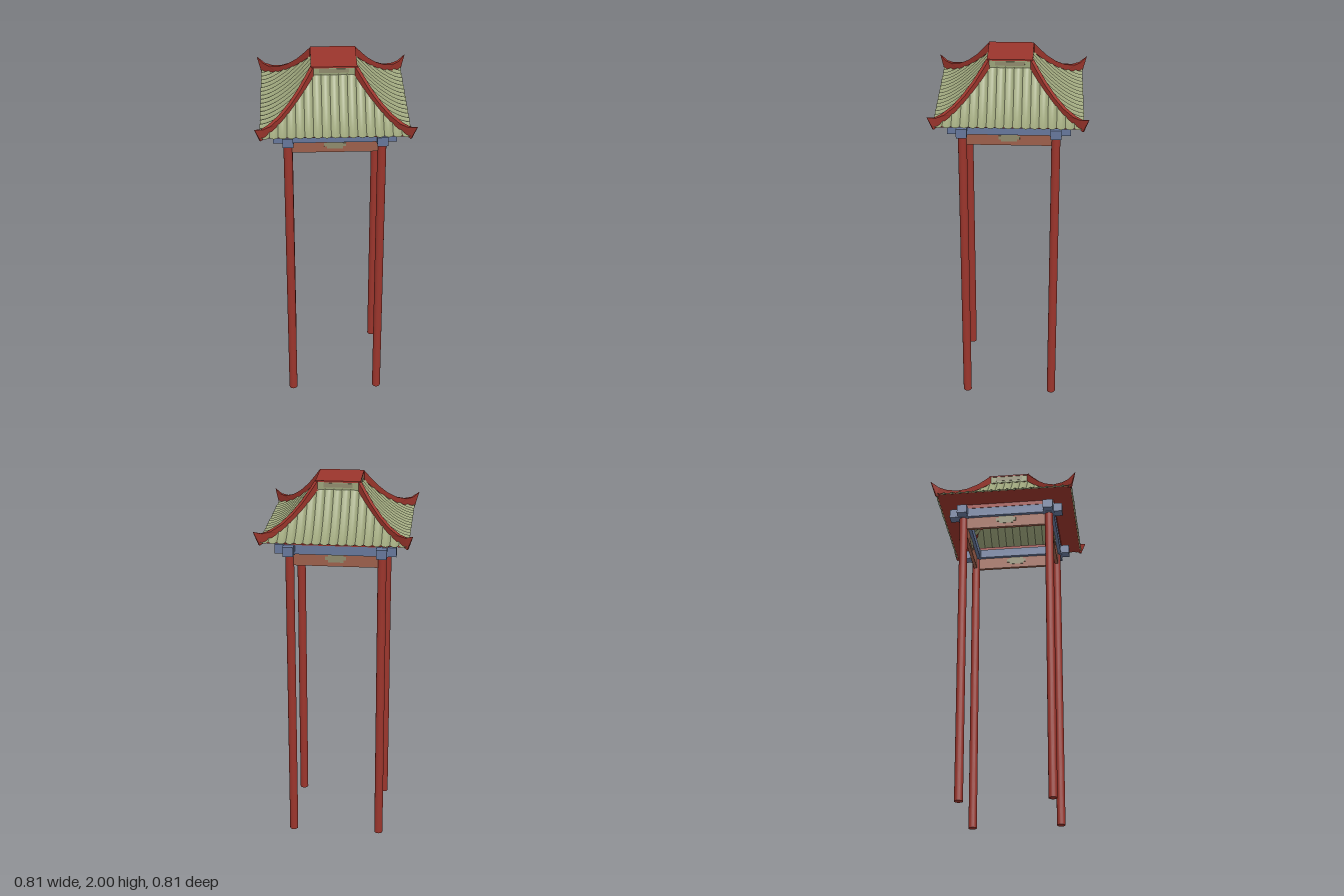
import * as THREE from 'three';

const material = (name, color, side = THREE.FrontSide) => {
  const m = new THREE.MeshStandardMaterial({ color, side });
  m.name = name;
  return m;
};

// Roof height at a distance d from the centre: a concave sweep
const EAVE = 0.38, CROWN = 0.115;
const roofY = (d) => 1.745 + 0.21 * Math.pow(Math.max(0, EAVE - d) / (EAVE - CROWN), 1.6);

// One tiled slope facing +z: concave troughs that meet in sharp ribs
function slopeGeometry() {
  const pos = [], index = [], strips = 17, pitch = 0.044, cols = 4, rows = 12;
  for (let s = 0; s < strips; s++) {
    const base = pos.length / 3;
    for (let i = 0; i <= cols; i++) {
      const u = i / cols;
      const x = (s - strips / 2 + u) * pitch;
      const sag = 0.009 * 4 * u * (1 - u);
      const start = Math.max(CROWN, Math.abs(x));
      for (let j = 0; j <= rows; j++) {
        const d = start + (EAVE - start) * j / rows;
        const fall = (roofY(d - 0.002) - roofY(d + 0.002)) / 0.004;
        const len = Math.hypot(1, fall);
        pos.push(x, roofY(d) - sag / len, d - sag * fall / len);
      }
    }
    for (let i = 0; i < cols; i++) for (let j = 0; j < rows; j++) {
      const a = base + i * (rows + 1) + j, c = a + rows + 1;
      index.push(a, a + 1, c, c, a + 1, c + 1);
    }
  }
  const g = new THREE.BufferGeometry();
  g.setAttribute('position', new THREE.Float32BufferAttribute(pos, 3));
  g.setIndex(index);
  g.computeVertexNormals();
  return g;
}

// Hip ridge: an upswept plate along the diagonal, tapering to its tip
function ridgeGeometry() {
  const upper = [[0.112, 1.998], [0.14, 1.957], [0.18, 1.902], [0.23, 1.848], [0.28, 1.808],
    [0.33, 1.786], [0.365, 1.784], [0.402, 1.803]];
  const lower = [[0.376, 1.725]];
  for (const d of [0.34, 0.29, 0.24, 0.19, 0.15, 0.112]) lower.push([d, roofY(d) - 0.012]);
  const shape = new THREE.Shape(
    [...upper, ...lower].map(([d, y]) => new THREE.Vector2(d * Math.SQRT2, y)));
  const g = new THREE.ExtrudeGeometry(shape, { depth: 0.02, bevelEnabled: false });
  g.translate(0, 0, -0.01);
  const p = g.attributes.position;
  for (let i = 0; i < p.count; i++) {
    const d = p.getX(i) / Math.SQRT2;
    p.setZ(i, p.getZ(i) * THREE.MathUtils.clamp((0.41 - d) / 0.07, 0.12, 1));
  }
  g.computeVertexNormals();
  return g;
}

export function createModel() {
  const root = new THREE.Group();
  root.name = 'pavilion';
  const red = material('red lacquer', 0x9b352c);
  const redSheet = material('red lacquer sheet', 0x9b352c, THREE.DoubleSide);
  const green = material('green tile', 0x9ba37a, THREE.DoubleSide);
  const blue = material('blue beam', 0x66779b);
  const brown = material('brown panel', 0x9c5f4b);
  const ornament = material('faded ornament', 0x8e8a6c);

  const add = (parent, name, geometry, mat, x = 0, y = 0, z = 0) => {
    const m = new THREE.Mesh(geometry, mat);
    m.name = name;
    m.position.set(x, y, z);
    parent.add(m);
    return m;
  };
  const box = (w, h, d) => new THREE.BoxGeometry(w, h, d);

  const column = new THREE.CylinderGeometry(0.023, 0.023, 1.66, 16);
  const slope = slopeGeometry();
  const ridge = ridgeGeometry();

  // Medallion outline with stepped ends
  const medallion = new THREE.Shape([[-0.055, -0.01], [-0.04, -0.01], [-0.04, -0.022], [0.04, -0.022],
    [0.04, -0.01], [0.055, -0.01], [0.055, 0.01], [0.04, 0.01], [0.04, 0.022], [-0.04, 0.022],
    [-0.04, 0.01], [-0.055, 0.01]].map(([x, y]) => new THREE.Vector2(x, y)));
  const medallionGeo = new THREE.ExtrudeGeometry(medallion, { depth: 0.022, bevelEnabled: false });

  // The four sides are alike
  for (let k = 0; k < 4; k++) {
    const side = new THREE.Group();
    side.name = ['front', 'left', 'back', 'right'][k] + 'Side';
    side.rotation.y = k * Math.PI / 2;
    root.add(side);
    add(side, 'column', column, red, 0.24, 0.83, 0.24);
    add(side, 'beam', box(0.63, 0.05, 0.055), blue, 0, 1.672, 0.24);
    add(side, 'beamJoint', box(0.062, 0.055, 0.062), blue, 0.24, 1.672, 0.24);
    add(side, 'panel', box(0.44, 0.07, 0.018), brown, 0, 1.615, 0.24);
    add(side, 'medallion', medallionGeo, ornament, 0, 1.624, 0.229);
    add(side, 'eavePlate', box(0.54, 0.024, 0.04), red, 0, 1.709, 0.25);
    add(side, 'tiledSlope', slope, green);
    add(side, 'crownBand', box(0.226, 0.042, 0.006), green, 0, 1.972, 0.111);
    add(side, 'crownOrnament', box(0.15, 0.022, 0.004), ornament, 0, 1.974, 0.1135);
    const hip = add(side, 'hipRidge', ridge, red);
    hip.rotation.y = Math.PI / 4;
  }

  // Sloping soffit under the eaves
  const soffit = new THREE.CylinderGeometry(0.372 * Math.SQRT2, 0.262 * Math.SQRT2, 0.018, 4, 1, true);
  soffit.rotateY(Math.PI / 4);
  add(root, 'soffit', soffit, redSheet, 0, 1.727, 0);

  // Flat cap
  add(root, 'roofCap', box(0.234, 0.008, 0.234), red, 0, 1.994, 0);
  return root;
}
